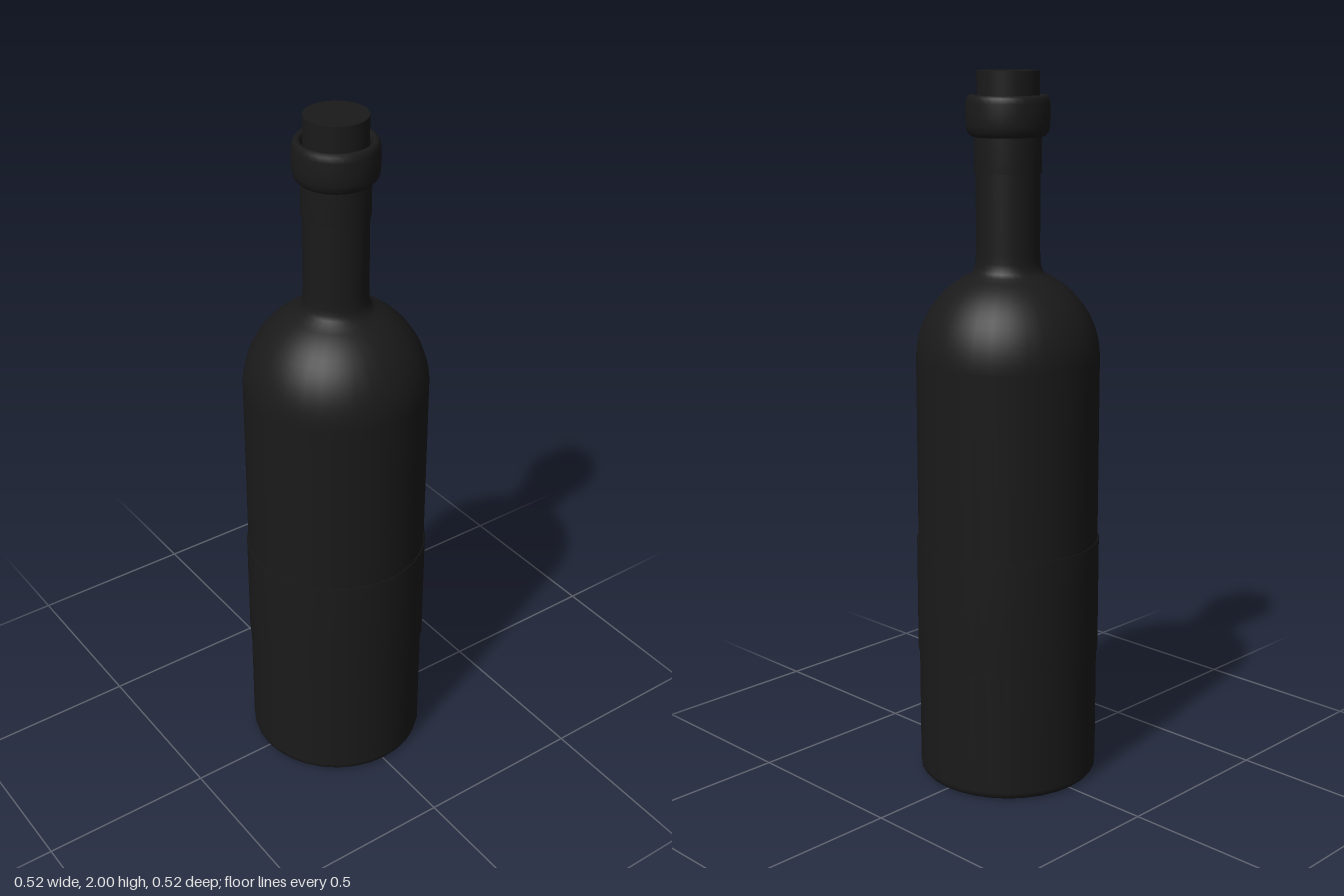
import * as THREE from 'three';

const SIDES = 32;

export function createModel() {
  const group = new THREE.Group();
  group.name = 'bottle';
  const material = new THREE.MeshStandardMaterial({ color: 0x1a1a1a, side: THREE.DoubleSide });

  // Revolve a list of [radius, height] points, listed from bottom to top
  function turned(name, profile) {
    const points = profile.map(([r, y]) => new THREE.Vector2(r, y));
    const mesh = new THREE.Mesh(new THREE.LatheGeometry(points, SIDES), material);
    mesh.name = name;
    group.add(mesh);
  }

  // Glass: flat base with a small rounded edge, straight wall, domed shoulder, neck
  const glass = [[0, 0], [0.235, 0], [0.247, 0.003], [0.254, 0.01], [0.256, 0.022]];
  const radius = 0.256, shoulderY = 1.22;
  const endAngle = Math.acos(0.105 / radius);
  for (let i = 0; i <= 12; i++) {
    const a = endAngle * i / 12;
    glass.push([radius * Math.cos(a), shoulderY + radius * Math.sin(a)]);
  }
  glass.push([0.096, 1.464], [0.091, 1.476], [0.089, 1.49], [0.088, 1.52], [0.088, 1.84]);
  turned('glassBody', glass);

  // Label wrapped round the body
  turned('label', [[0.256, 0.37], [0.26, 0.37], [0.26, 0.7], [0.256, 0.7]]);

  // Sleeve under the lip
  turned('neckSleeve', [[0.088, 1.73], [0.092, 1.73], [0.092, 1.835]]);

  // Rounded lip ring with an open mouth
  turned('lip', [
    [0.09, 1.825], [0.101, 1.828], [0.11, 1.838], [0.114, 1.855], [0.115, 1.88],
    [0.114, 1.915], [0.111, 1.929], [0.105, 1.936], [0.097, 1.936],
    [0.091, 1.93], [0.088, 1.918], [0.088, 1.84],
  ]);

  // Stopper
  const stopper = new THREE.Mesh(new THREE.CylinderGeometry(0.085, 0.085, 0.2, SIDES), material);
  stopper.name = 'stopper';
  stopper.position.y = 1.9;
  group.add(stopper);

  return group;
}
